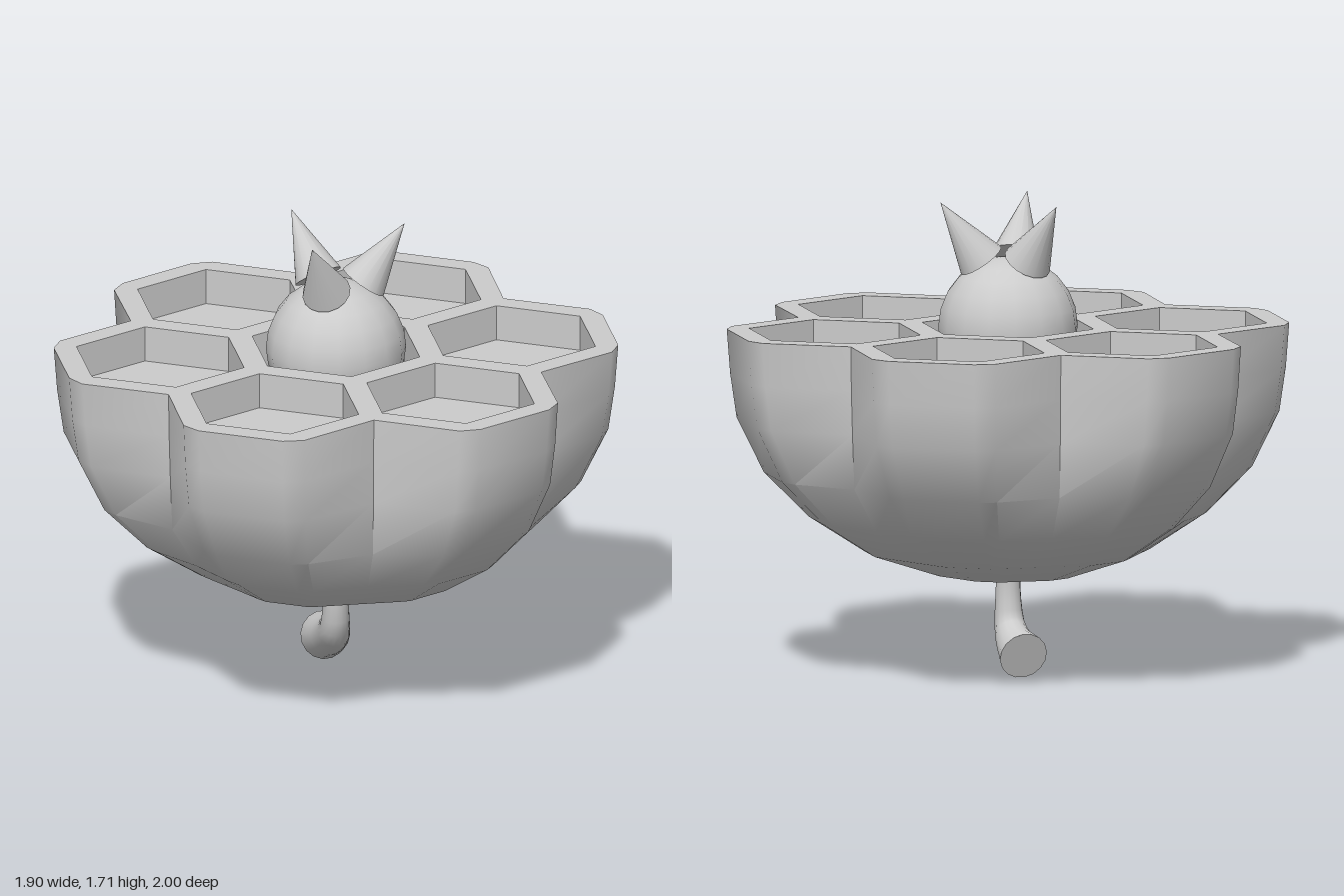
import * as THREE from 'three';
import { toCreasedNormals } from 'three/addons/utils/BufferGeometryUtils.js';

const RIM = 1.25;      // height of the flat top
const DEPTH = 0.13;    // pocket depth
const CELL = 0.32;     // pocket corner radius
const SPACING = 0.64;  // distance between pocket centres

const grey = new THREE.MeshStandardMaterial({ color: 0xcccccc });
const greyDouble = new THREE.MeshStandardMaterial({ color: 0xcccccc, side: THREE.DoubleSide });
const greyFlat = new THREE.MeshStandardMaterial({ color: 0xcccccc, side: THREE.DoubleSide, flatShading: true });

function part(name, geometry, material = grey) {
  const mesh = new THREE.Mesh(geometry, material);
  mesh.name = name;
  return mesh;
}

// Six-lobed outline in (x, z); "fill" pushes the notches outwards to round it off
function lobedOutline(fill) {
  const k = 1 + fill * 0.21;
  const lobe = [[-0.392 * k, 0.679 * k], [-0.23, 0.965], [-0.16, 1], [0.16, 1], [0.23, 0.965]];
  const points = [];
  for (let i = 0; i < 6; i++) {
    const s = Math.sin(i * Math.PI / 3), c = Math.cos(i * Math.PI / 3);
    for (const [v, u] of lobe) points.push([u * s + v * c, u * c - v * s]);
  }
  return points;
}

// Bowl: lobed sections shrinking to a point, [height, scale, notch fill]
function bowlGeometry() {
  const sections = [[RIM, 1, 0], [1.09, 0.988, 0.04], [0.93, 0.965, 0.12], [0.73, 0.868, 0.6],
    [0.567, 0.708, 0.88], [0.44, 0.512, 1], [0.357, 0.265, 1], [0.33, 0.001, 1]];
  const positions = [], index = [], n = 30;
  sections.forEach(([y, scale, fill], i) => {
    lobedOutline(fill).forEach(([x, z], j) => {
      positions.push(x * scale, y, z * scale);
      if (i === sections.length - 1) return;
      const a = i * n + j, b = i * n + (j + 1) % n;
      index.push(a, a + n, b, a + n, b + n, b);
    });
  });
  const geometry = new THREE.BufferGeometry();
  geometry.setAttribute('position', new THREE.Float32BufferAttribute(positions, 3));
  geometry.setIndex(index);
  return toCreasedNormals(geometry, 0.7);
}

// Flat top with hexagonal openings
function topGeometry(centres) {
  const shape = new THREE.Shape(lobedOutline(0).map(([x, z]) => new THREE.Vector2(x, -z)));
  for (const [cx, cz] of centres) {
    const corners = [];
    for (let i = 0; i < 6; i++) {
      const a = i * Math.PI / 3;
      corners.push(new THREE.Vector2(cx + CELL * Math.cos(a), -cz + CELL * Math.sin(a)));
    }
    shape.holes.push(new THREE.Path(corners));
  }
  return new THREE.ShapeGeometry(shape).rotateX(-Math.PI / 2).translate(0, RIM, 0);
}

// Curved stem that widens towards its cut end
function stem() {
  const group = new THREE.Group();
  group.name = 'stem';
  const curve = new THREE.CatmullRomCurve3([
    new THREE.Vector3(0, 0.38, 0.005), new THREE.Vector3(0, 0.27, 0.002),
    new THREE.Vector3(-0.012, 0.17, -0.02), new THREE.Vector3(-0.05, 0.115, -0.085),
    new THREE.Vector3(-0.105, 0.08, -0.165)]);
  const rings = 10, sides = 16;
  const radius = t => 0.043 + 0.045 * t * t;
  const tube = new THREE.TubeGeometry(curve, rings, 1, sides);
  const p = tube.attributes.position, v = new THREE.Vector3();
  for (let i = 0; i < p.count; i++) {
    const t = Math.floor(i / (sides + 1)) / rings;
    const centre = curve.getPointAt(t);
    v.fromBufferAttribute(p, i).sub(centre).multiplyScalar(radius(t)).add(centre);
    p.setXYZ(i, v.x, v.y, v.z);
  }
  const cap = part('stemEnd', new THREE.CircleGeometry(radius(1), sides), greyDouble);
  cap.position.copy(curve.getPointAt(1));
  cap.quaternion.setFromUnitVectors(new THREE.Vector3(0, 0, 1), curve.getTangentAt(1));
  group.add(part('stemTube', tube), cap);
  return group;
}

export function createModel() {
  const model = new THREE.Group();
  model.name = 'seedPod';

  const centres = [[0, 0]];
  for (let i = 0; i < 6; i++) {
    const a = i * Math.PI / 3;
    centres.push([SPACING * Math.sin(a), SPACING * Math.cos(a)]);
  }

  model.add(part('bowl', bowlGeometry()), part('honeycombTop', topGeometry(centres)));

  // Sunken pockets
  for (const [x, z] of centres) {
    const pocket = new THREE.Group();
    pocket.name = 'pocket';
    const walls = new THREE.CylinderGeometry(CELL, CELL, DEPTH, 6, 1, true).rotateY(Math.PI / 6);
    const floor = new THREE.CircleGeometry(CELL, 6).rotateX(-Math.PI / 2).translate(0, -DEPTH / 2, 0);
    pocket.add(part('pocketWalls', walls, greyFlat), part('pocketFloor', floor));
    pocket.position.set(x, RIM - DEPTH / 2, z);
    model.add(pocket);
  }

  // Round seed in the middle pocket
  const seed = part('seed', new THREE.SphereGeometry(0.252, 16, 12));
  seed.position.y = RIM;
  model.add(seed);

  // Three spikes leaning outwards from the seed
  const base = new THREE.Vector3(0, 1.49, 0.1), tip = new THREE.Vector3(0, 1.705, 0.25);
  const axis = tip.clone().sub(base);
  const length = axis.length();
  for (let i = 0; i < 3; i++) {
    const spike = part('spike', new THREE.ConeGeometry(0.088, length, 16).translate(0, length / 2, 0));
    spike.position.copy(base);
    spike.quaternion.setFromUnitVectors(new THREE.Vector3(0, 1, 0), axis.clone().normalize());
    const holder = new THREE.Group();
    holder.name = 'spikeHolder';
    holder.rotation.y = i * Math.PI * 2 / 3;
    holder.add(spike);
    model.add(holder);
  }

  model.add(stem());
  return model;
}
